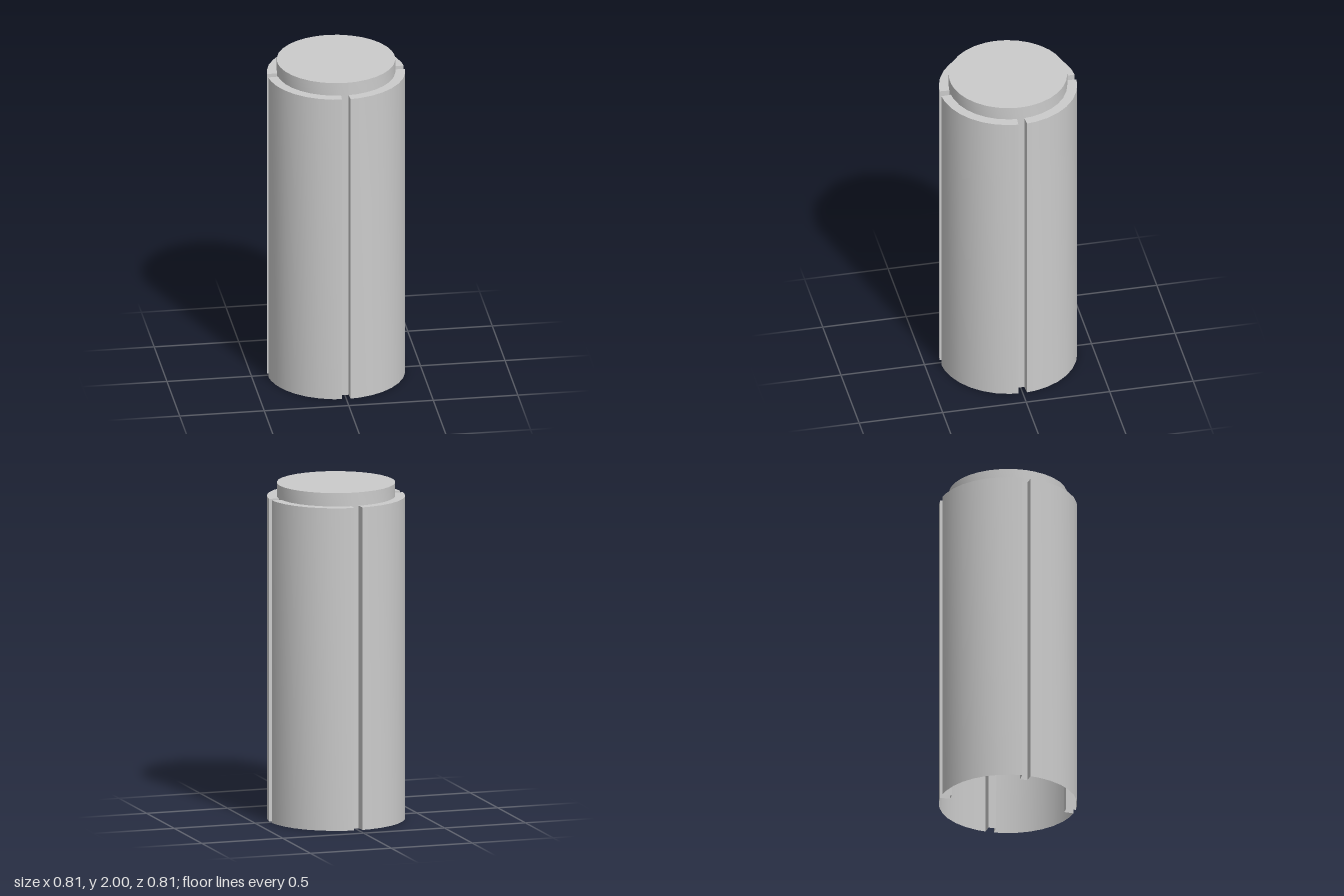
import * as THREE from 'three';

const OUTER = 0.405, INNER = 0.347;   // shell and cap radii
const LEDGE = 1.92, TOP = 2;          // heights
const SLOT = THREE.MathUtils.degToRad(3.6); // half angle of a slot
const STEP = Math.PI / 16;

const material = new THREE.MeshStandardMaterial({ color: 0xcccccc, side: THREE.DoubleSide });

const at = (r, t, y) => [r * Math.sin(t), y, r * Math.cos(t)];

// Surface between two rows of points, smooth along the rows
function strip(name, a, b) {
  const index = [], n = a.length;
  for (let i = 0; i < n - 1; i++) index.push(i, i + 1, n + i, i + 1, n + i + 1, n + i);
  const geometry = new THREE.BufferGeometry();
  geometry.setAttribute('position', new THREE.Float32BufferAttribute([...a, ...b].flat(), 3));
  geometry.setIndex(index);
  geometry.computeVertexNormals();
  const mesh = new THREE.Mesh(geometry, material);
  mesh.name = name;
  return mesh;
}

export function createModel() {
  const model = new THREE.Group();
  model.name = 'slottedCylinder';

  // Angles of one quarter panel, between two slots
  const angles = [SLOT];
  for (let i = 1; i < 8; i++) angles.push(i * STEP);
  angles.push(Math.PI / 2 - SLOT);
  const row = (r, y) => angles.map((t) => at(r, t, y));

  for (let q = 0; q < 4; q++) {
    const quarter = new THREE.Group();
    quarter.name = 'quarter' + (q + 1);
    quarter.rotation.y = q * Math.PI / 2;

    // Outer shell panel, open below, and the ledge on top of it
    quarter.add(strip('shellPanel', row(OUTER, 0), row(OUTER, LEDGE)));
    quarter.add(strip('ledge', row(OUTER, LEDGE), row(INNER, LEDGE)));

    // Slot: side, floor, side
    const path = [[OUTER, -SLOT], [INNER, -SLOT], [INNER, SLOT], [OUTER, SLOT]];
    ['slotSideA', 'slotFloor', 'slotSideB'].forEach((name, i) => {
      const ends = [path[i], path[i + 1]];
      quarter.add(strip(name, ends.map(([r, t]) => at(r, t, 0)), ends.map(([r, t]) => at(r, t, LEDGE))));
    });
    model.add(quarter);
  }

  // Raised cap: wall and flat lid, sharing the corners of the panels
  const ring = [];
  for (let q = 0; q < 4; q++) ring.push(...angles.map((t) => t + q * Math.PI / 2));
  ring.push(ring[0] + Math.PI * 2);
  const rim = (y) => ring.map((t) => at(INNER, t, y));
  model.add(strip('capWall', rim(LEDGE), rim(TOP)));

  const outline = ring.slice(0, -1).map((t) => new THREE.Vector2(INNER * Math.sin(t), -INNER * Math.cos(t)));
  const lid = new THREE.Mesh(new THREE.ShapeGeometry(new THREE.Shape(outline)), material);
  lid.name = 'capLid';
  lid.rotation.x = -Math.PI / 2;
  lid.position.y = TOP;
  model.add(lid);

  return model;
}
